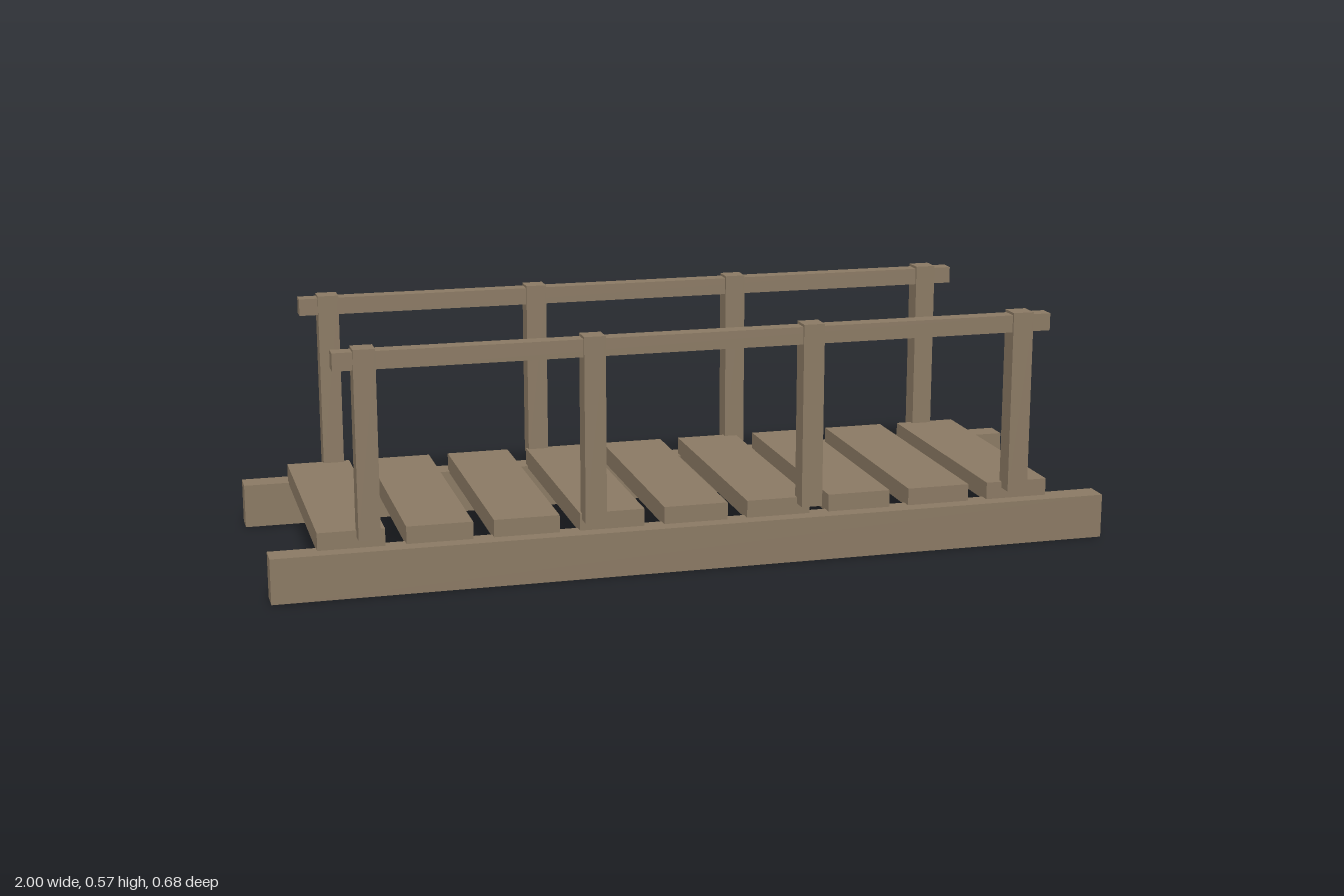
import * as THREE from 'three';

export function createModel() {
  const bridge = new THREE.Group();
  bridge.name = 'footbridge';
  const wood = new THREE.MeshStandardMaterial({ color: 0x8a7963 });
  wood.name = 'weathered wood';

  // Box placed by its centre in x and z and by its bottom and top heights
  function addBeam(name, width, depth, bottom, top, x, z) {
    const mesh = new THREE.Mesh(new THREE.BoxGeometry(width, top - bottom, depth), wood);
    mesh.name = name;
    mesh.position.set(x, (bottom + top) / 2, z);
    bridge.add(mesh);
  }

  // Deck planks
  for (let i = 0; i < 9; i++) {
    addBeam('deckPlank' + (i + 1), 0.153, 0.61, 0.101, 0.147, -0.814 + i * 0.2005, 0);
  }

  // Bearer, posts and handrail on each side
  for (const [label, side] of [['front', 1], ['back', -1]]) {
    addBeam(label + 'Bearer', 2, 0.06, 0, 0.106, 0, side * 0.311);
    for (let i = 0; i < 4; i++) {
      addBeam(label + 'Post' + (i + 1), 0.05, 0.05, 0.132, 0.567, -0.777 + i * 0.518, side * 0.316);
    }
    addBeam(label + 'Handrail', 1.694, 0.039, 0.52, 0.561, 0, side * 0.316);
  }

  return bridge;
}
